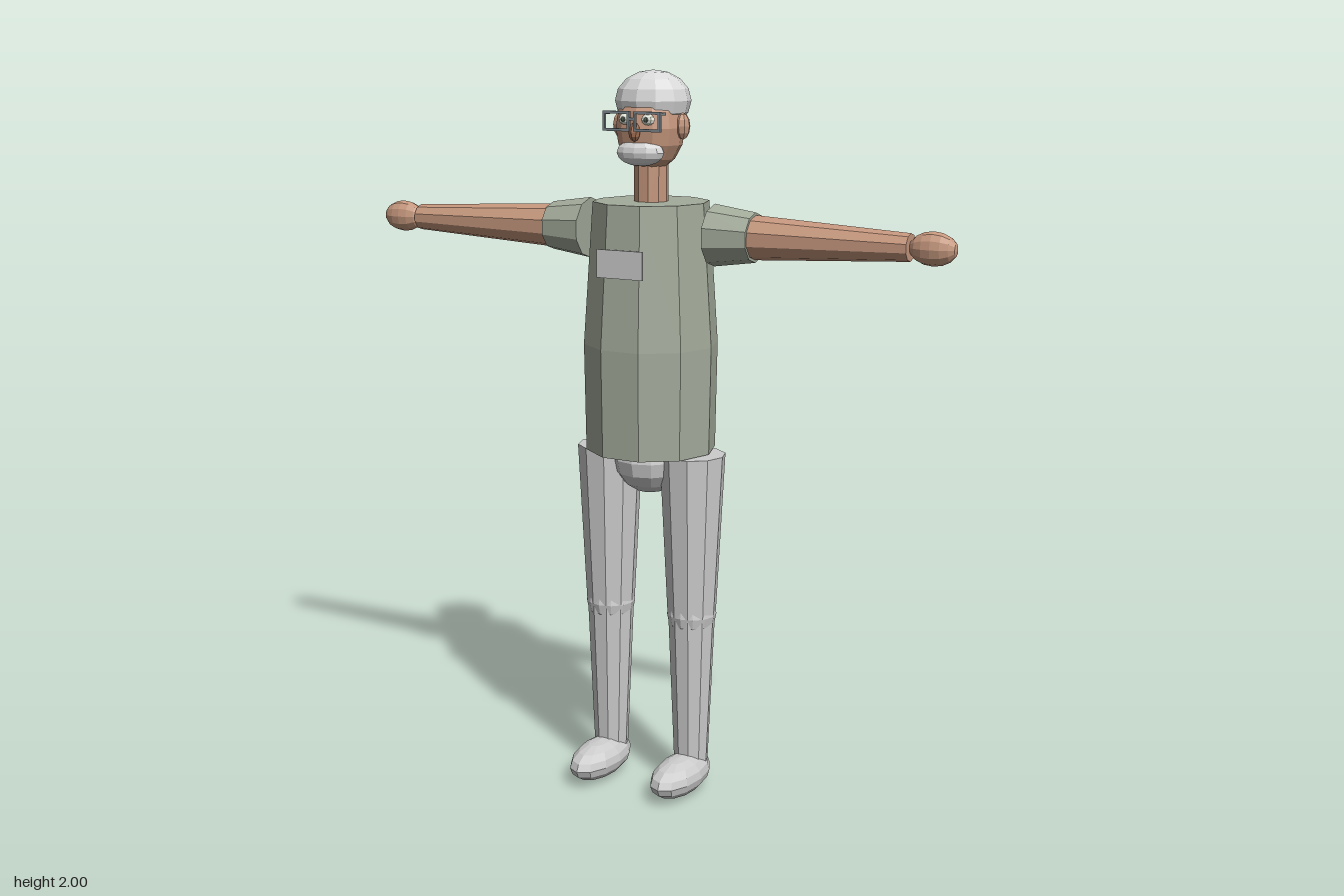
import * as THREE from 'three';

const mat = (name, color) => {
  const m = new THREE.MeshStandardMaterial({ color });
  m.name = name;
  m.flatShading = true;
  return m;
};

export function createModel() {
  const skin = mat('skin', 0xc6987e);
  const noseSkin = mat('nose skin', 0xa87458);
  const shirt = mat('sage shirt', 0xa3ab9b);
  const pale = mat('pale grey cloth', 0xcccccc);
  const white = mat('grey white hair', 0xd9d9d9);
  const frame = mat('spectacle frame', 0x7c868c);
  const eyeWhite = mat('eye white', 0xe4e8dc);
  const pupil = mat('pupil', 0x4d5a4c);

  const model = new THREE.Group();
  model.name = 'standingMan';
  const CX = 0.01, CZ = -0.009;   // body axis

  const add = (name, geo, material, x, y, z, parent = model) => {
    const mesh = new THREE.Mesh(geo, material);
    mesh.name = name;
    mesh.position.set(x, y, z);
    parent.add(mesh);
    return mesh;
  };
  const ellipsoid = (name, m, r, p, parent, seg = 12, rings = 8) =>
    add(name, new THREE.SphereGeometry(1, seg, rings).scale(...r), m, ...p, parent);
  // ten-sided tapered tube with corners on the x axis
  const taper = (rTop, rBottom, h) =>
    new THREE.CylinderGeometry(rTop, rBottom, h, 10).rotateY(Math.PI / 2);

  // Shirt body: one faceted turned profile, closed at both ends
  const profile = [[0, 0.975], [0.179, 0.975], [0.184, 1.27], [0.158, 1.655], [0, 1.655]]
    .map(([r, y]) => new THREE.Vector2(r, y));
  add('shirtBody', new THREE.LatheGeometry(profile, 10).rotateY(Math.PI / 2), shirt, CX, 0, CZ);
  add('chestPatch', new THREE.BoxGeometry(0.138, 0.075, 0.006), pale, CX, 1.502, 0.162);
  ellipsoid('pelvis', pale, [0.104, 0.1, 0.11], [CX, 0.95, CZ]);

  // Head
  const head = new THREE.Group();
  head.name = 'head';
  model.add(head);
  add('neck', taper(0.047, 0.047, 0.16), skin, CX, 1.71, CZ, head);
  ellipsoid('face', skin, [0.094, 0.117, 0.087], [CX, 1.85, -0.005], head);
  ellipsoid('hair', white, [0.104, 0.08, 0.094], [CX, 1.92, -0.02], head);
  ellipsoid('moustache', white, [0.071, 0.036, 0.036], [CX, 1.787, 0.051], head);
  ellipsoid('nose', noseSkin, [0.016, 0.025, 0.018], [CX, 1.842, 0.082], head, 8, 6);

  // Rectangular spectacle rim with an open middle
  const rim = new THREE.Shape();
  const rect = (path, w, h) => {
    path.moveTo(-w, -h);
    path.lineTo(w, -h);
    path.lineTo(w, h);
    path.lineTo(-w, h);
    path.closePath();
    return path;
  };
  rect(rim, 0.04, 0.026);
  rim.holes.push(rect(new THREE.Path(), 0.033, 0.019));
  const rimGeo = new THREE.ExtrudeGeometry(rim, { depth: 0.008, bevelEnabled: false });
  add('spectacleBridge', new THREE.BoxGeometry(0.018, 0.007, 0.007), frame, CX, 1.876, 0.097, head);

  for (const s of [-1, 1]) {
    const side = s > 0 ? 'left' : 'right';

    // Face details
    ellipsoid(side + 'Ear', skin, [0.02, 0.035, 0.023], [CX + s * 0.094, 1.855, -0.01], head, 8, 6);
    ellipsoid(side + 'Eye', eyeWhite, [0.02, 0.015, 0.014], [CX + s * 0.034, 1.874, 0.07], head, 8, 6);
    ellipsoid(side + 'Pupil', pupil, [0.007, 0.007, 0.004], [CX + s * 0.034, 1.874, 0.083], head, 8, 6);
    add(side + 'SpectacleRim', rimGeo, frame, CX + s * 0.046, 1.87, 0.093, head);
    add(side + 'SpectacleArm', new THREE.BoxGeometry(0.006, 0.007, 0.03), frame,
      CX + s * 0.083, 1.89, 0.082, head);

    // Arm, built along +y then turned outward
    const arm = new THREE.Group();
    arm.name = side + 'Arm';
    arm.position.set(0, 1.573, -0.012);
    arm.rotation.z = -s * Math.PI / 2;
    model.add(arm);
    const shift = s * CX;
    add('sleeve', taper(0.066, 0.083, 0.12), shirt, 0, 0.25 + shift, 0, arm);
    add('forearm', taper(0.036, 0.061, 0.47), skin, 0, 0.515, 0, arm);
    ellipsoid('hand', skin, [0.044, 0.064, 0.034], [0, 0.81, 0], arm);

    // Leg and shoe
    const leg = new THREE.Group();
    leg.name = side + 'Leg';
    leg.position.set(CX + s * 0.13, 0, CZ);
    model.add(leg);
    add('thigh', taper(0.091, 0.068, 0.457), pale, 0, 0.7435, 0, leg);
    add('shin', taper(0.066, 0.048, 0.435), pale, 0, 0.2975, 0, leg);
    ellipsoid('knee', pale, [0.069, 0.069, 0.069], [0, 0.515, 0], leg);
    ellipsoid('shoe', pale, [0.066, 0.053, 0.135], [0, 0.057, 0.063], leg);
  }
  return model;
}
